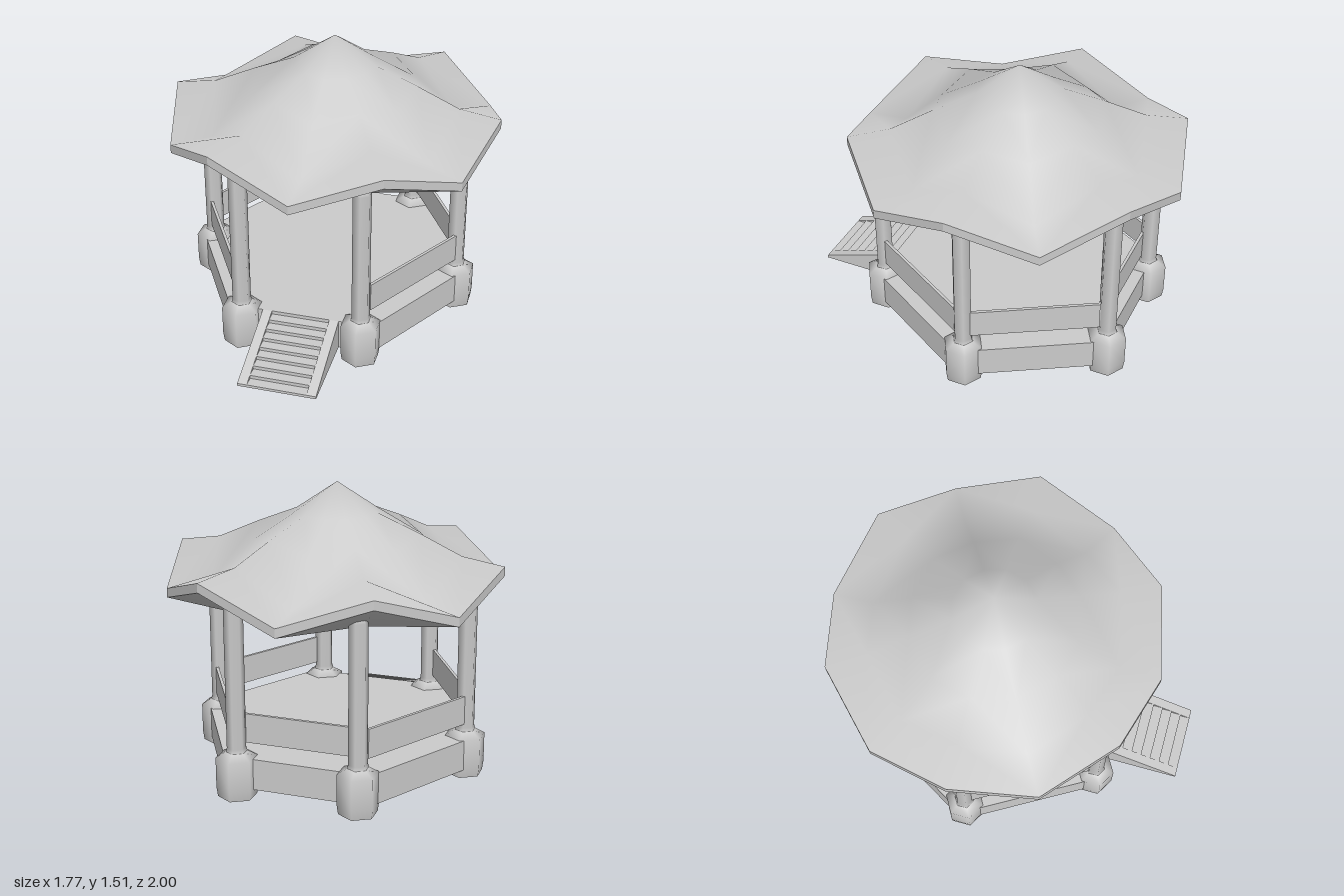
import * as THREE from 'three';

const smooth = new THREE.MeshStandardMaterial({ color: 0xcccccc });
const flat = new THREE.MeshStandardMaterial({ color: 0xcccccc, flatShading: true });
const open = new THREE.MeshStandardMaterial({ color: 0xcccccc, side: THREE.DoubleSide });
const CX = -0.008, CZ = -0.107; // centre of the pavilion, the stairs reach forward of it

function add(parent, name, geometry, material, x = 0, y = 0, z = 0) {
  const mesh = new THREE.Mesh(geometry, material);
  mesh.name = name;
  mesh.position.set(x, y, z);
  parent.add(mesh);
  return mesh;
}

// Roof rings: radius, height on the ridges, height in the valleys
const SEG = 12;
const TOP = [
  [0.22, 1.36, 1.36],
  [0.443, 1.27, 1.22],
  [0.664, 1.17, 1.01],
  [0.885, 1.135, 0.99],
];
// The underside hangs down to a level lip inside the eaves
const UNDER = [
  [0.22, 1.29, 1.29],
  [0.443, 1.14, 1.13],
  [0.664, 0.942, 0.942],
  [0.885, 1.087, 0.942],
];

function ringPoint([r, high, low], s) {
  const a = (s / SEG) * Math.PI * 2;
  return [r * Math.cos(a), s % 2 ? low : high, r * Math.sin(a)];
}

function build(pos, idx) {
  const g = new THREE.BufferGeometry();
  g.setAttribute('position', new THREE.Float32BufferAttribute(pos, 3));
  if (idx) g.setIndex(idx);
  g.computeVertexNormals();
  return g;
}

// Folded surface from the apex outwards, facing up or (flipped) down
function roofSurface(apex, rings, flip) {
  const pos = [0, apex, 0];
  const idx = [];
  const tri = (a, b, c) => (flip ? idx.push(a, c, b) : idx.push(a, b, c));
  const id = (ring, s) => 1 + ring * SEG + (s % SEG);
  for (const ring of rings)
    for (let s = 0; s < SEG; s++) pos.push(...ringPoint(ring, s));
  for (let s = 0; s < SEG; s++) {
    tri(0, id(0, s + 1), id(0, s));
    for (let ring = 0; ring < rings.length - 1; ring++) {
      const a = id(ring, s), b = id(ring, s + 1);
      const c = id(ring + 1, s), d = id(ring + 1, s + 1);
      // the fold always runs from the inner ridge to the outer valley
      if (s % 2 === 0) { tri(a, d, c); tri(a, b, d); }
      else { tri(b, c, a); tri(b, d, c); }
    }
  }
  return build(pos, idx);
}

// Vertical band closing the roof edge
function roofRim() {
  const pos = [];
  for (let s = 0; s < SEG; s++) {
    const a = ringPoint(TOP[3], s), b = ringPoint(TOP[3], s + 1);
    const c = ringPoint(UNDER[3], s), d = ringPoint(UNDER[3], s + 1);
    pos.push(...a, ...b, ...c, ...b, ...d, ...c);
  }
  return build(pos);
}

// Side outline in (z, y) extruded across x
function sideExtrude(points, width) {
  const shape = new THREE.Shape(points.map(([z, y]) => new THREE.Vector2(z, y)));
  const g = new THREE.ExtrudeGeometry(shape, { depth: width, bevelEnabled: false });
  return g.rotateY(-Math.PI / 2).translate(width, 0, 0);
}

export function createModel() {
  const model = new THREE.Group();
  model.name = 'pavilion';

  // Roof
  const roof = new THREE.Group();
  roof.name = 'roof';
  roof.position.z = -0.115;
  model.add(roof);
  add(roof, 'roofTop', roofSurface(1.51, TOP, false), smooth);
  add(roof, 'roofUnderside', roofSurface(1.43, UNDER, true), smooth);
  add(roof, 'roofRim', roofRim(), flat);

  // Deck
  const deck = new THREE.CylinderGeometry(0.77, 0.77, 0.165, 6).rotateY(Math.PI / 6);
  add(model, 'deck', deck, flat, CX, 0.1275, CZ);

  // Columns on wide hexagonal footings, open underneath
  const profile = (pts) =>
    new THREE.LatheGeometry(pts.map(([r, y]) => new THREE.Vector2(r, y)), 6);
  const footing = profile([[0.1, 0], [0.107, 0.05], [0.107, 0.21], [0.055, 0.24]]);
  const shaft = profile([[0.055, 0.24], [0.049, 0.26], [0.049, 0.985], [0.034, 1.01], [0, 1.015]]);
  const spots = [[0.695, 0], [-0.695, 0]];
  for (const sx of [-1, 1]) for (const sz of [-1, 1]) spots.push([sx * 0.321, sz * 0.654]);
  for (const [x, z] of spots) {
    add(model, 'columnFooting', footing, open, x + CX, 0, z + CZ);
    add(model, 'column', shaft, smooth, x + CX, 0, z + CZ);
  }

  // Railings on every side but the front
  const R = 0.718;
  const railGeometry = new THREE.BoxGeometry(R, 0.154, 0.016);
  for (let k = 0; k < 6; k++) {
    if (k === 1) continue;
    const a = (k * Math.PI) / 3 + Math.PI / 6;
    const d = R * Math.cos(Math.PI / 6);
    const rail = add(model, 'railing', railGeometry, flat,
      d * Math.cos(a) + CX, 0.358, d * Math.sin(a) + CZ);
    rail.rotation.y = Math.PI / 2 - a;
  }

  // Stairs: two sloping stringers with low steps between them
  const stringer = sideExtrude([[0.5, 0.045], [1, 0.045], [1, 0.06], [0.56, 0.21], [0.5, 0.21]], 0.05);
  add(model, 'stairStringer', stringer, flat, -0.21);
  add(model, 'stairStringer', stringer, flat, 0.15);
  const steps = [[0.5, 0.045], [1, 0.045]];
  for (let i = 0; i < 8; i++) {
    const y = 0.06 + i * 0.0187;
    steps.push([1 - i * 0.055, y], [1 - (i + 1) * 0.055, y]);
  }
  steps.push([0.5, 0.191]);
  add(model, 'stairSteps', sideExtrude(steps, 0.31), flat, -0.16);

  return model;
}
